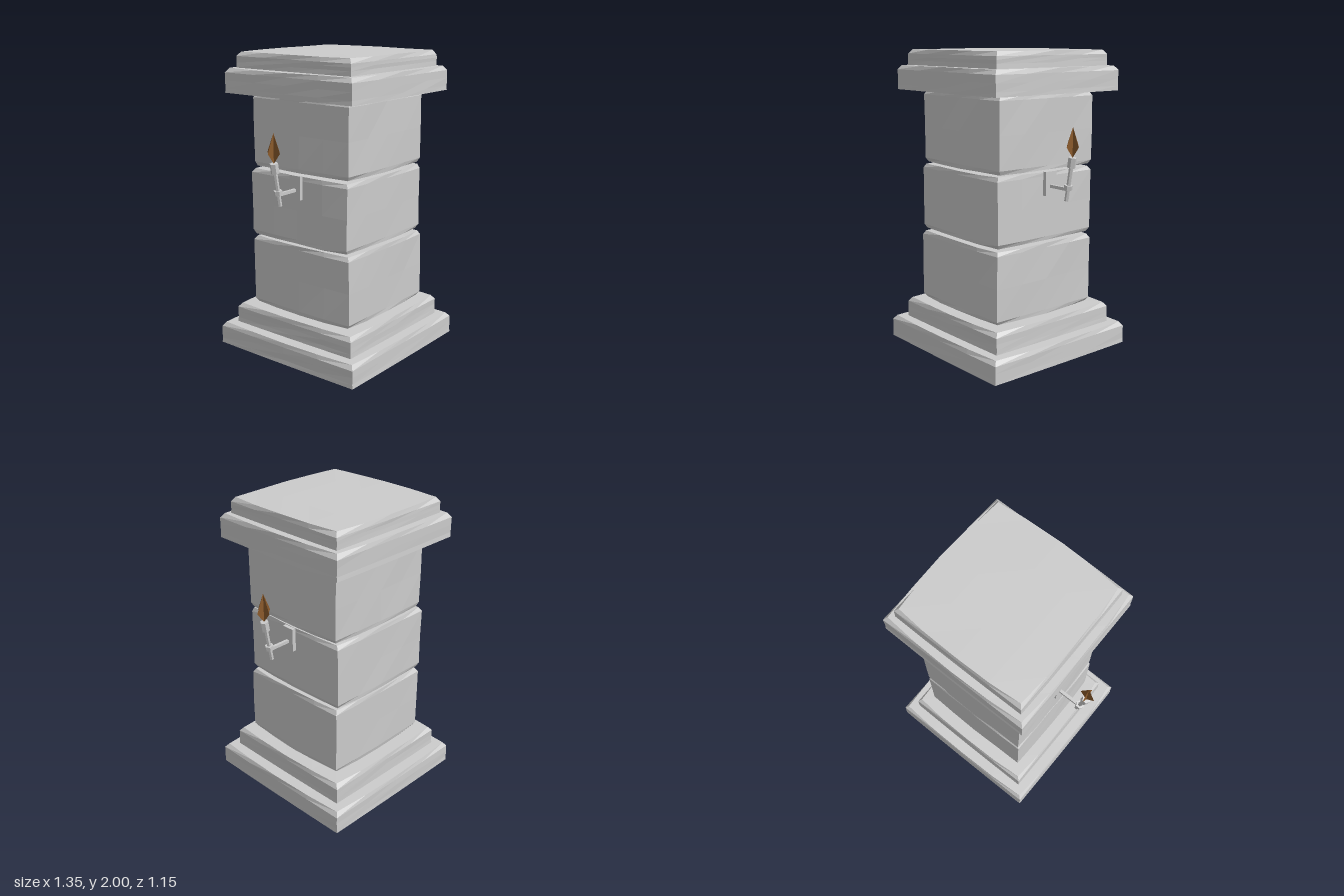
import * as THREE from 'three';

const stone = new THREE.MeshStandardMaterial({ color: 0xcccccc, flatShading: true });
const flameMat = new THREE.MeshStandardMaterial({ color: 0x8a5a2b, flatShading: true, side: THREE.DoubleSide });

// repeatable wobble in -1..1 for a grid point
function wobble(a, b, c, seed) {
  const s = Math.sin(a * 12.9 + b * 78.2 + c * 37.7 + seed * 19.1) * 43758.5;
  return (s - Math.floor(s)) * 2 - 1;
}

// hand-cut stone: the rims are worn back towards the corners
function stoneBlock(name, [x0, x1], [y0, y1], [z0, z1], { bevel, wear, wearBottom, bow, rough, seed }) {
  const geo = new THREE.BoxGeometry(2, 2, 2, 4, 4, 4);
  const p = geo.attributes.position;
  const hx = (x1 - x0) / 2, hy = (y1 - y0) / 2, hz = (z1 - z0) / 2;
  for (let i = 0; i < p.count; i++) {
    const u = p.getX(i), v = p.getY(i), w = p.getZ(i);
    const rim = v === 1 || (v === -1 && wearBottom);
    // pull a side face in: slightly at its corners, more along the rims
    const pull = (side, along) => Math.abs(side) === 1
      ? -Math.sign(side) * (bow * along * along + (rim ? wear * (0.15 + 0.85 * along * along) : 0))
      : 0;
    const row = Math.abs(v) === 0.5 ? Math.sign(v) * (1 - bevel / hy) : v;
    const flatBottom = v === -1 && !wearBottom;
    const r = flatBottom ? 0 : rough;
    const sx = Math.abs(u) === 1 ? 1 : 0, sz = Math.abs(w) === 1 ? 1 : 0;
    const dip = rim ? -Math.sign(v) * rough * (0.5 + 0.5 * wobble(w, u, v, seed)) : 0;
    p.setXYZ(i,
      (x0 + x1) / 2 + u * hx + pull(u, w) - sx * u * r * (0.5 + 0.5 * wobble(u, v, w, seed)),
      (y0 + y1) / 2 + row * hy + (sx || sz ? dip : 0),
      (z0 + z1) / 2 + w * hz + pull(w, u) - sz * w * r * (0.5 + 0.5 * wobble(v, w, u, seed)));
  }
  geo.computeVertexNormals();
  const mesh = new THREE.Mesh(geo, stone);
  mesh.name = name;
  return mesh;
}

function part(name, geo, x, y, parent, mat = stone) {
  const mesh = new THREE.Mesh(geo, mat);
  mesh.name = name;
  mesh.position.set(x, y, 0);
  parent.add(mesh);
  return mesh;
}

const hexRod = (r, h) => new THREE.CylinderGeometry(r, r, h, 6).rotateY(Math.PI / 6);

// wall torch on the +x side
function wallTorch(name) {
  const torch = new THREE.Group();
  torch.name = name;
  part('wallPlate', new THREE.BoxGeometry(0.026, 0.155, 0.09), 0.423, 1.165, torch);
  part('bracketArm', new THREE.BoxGeometry(0.165, 0.02, 0.02), 0.515, 1.148, torch);

  // leaning handle with its ring and head
  const handle = new THREE.Group();
  handle.name = 'handle';
  handle.position.set(0.6, 1.21, 0);
  handle.rotation.z = -0.177;
  part('shaft', hexRod(0.014, 0.27), 0, -0.005, handle);
  part('ring', hexRod(0.028, 0.03), 0, -0.05, handle);
  part('head', hexRod(0.027, 0.065), 0, 0.112, handle);
  torch.add(handle);

  // flame of two crossed diamond sheets
  const diamond = new THREE.Shape([[0, 0], [0.052, 0.068], [0, 0.19], [-0.052, 0.068]]
    .map(([x, y]) => new THREE.Vector2(x, y)));
  const flame = new THREE.Group();
  flame.name = 'flame';
  flame.position.set(0.625, 1.35, 0);
  for (const turn of [0, Math.PI / 2]) {
    part('flameSheet', new THREE.ShapeGeometry(diamond), 0, 0, flame, flameMat).rotation.y = turn;
  }
  torch.add(flame);
  return torch;
}

export function createModel() {
  const model = new THREE.Group();
  model.name = 'stonePillar';

  const slab = { bevel: 0.03, wear: 0.022, wearBottom: false, bow: 0.003, rough: 0.003 };
  const shaft = { bevel: 0.03, wear: 0.015, wearBottom: true, bow: 0.006, rough: 0.006 };
  const blocks = [
    ['baseLower', [-0.576, 0.573], [0, 0.15], [-0.573, 0.576], slab],
    ['baseUpper', [-0.495, 0.492], [0.15, 0.287], [-0.492, 0.498], slab],
    ['shaftLower', [-0.418, 0.408], [0.29, 0.772], [-0.404, 0.424], shaft],
    ['shaftMiddle', [-0.418, 0.4], [0.782, 1.238], [-0.408, 0.41], shaft],
    ['shaftUpper', [-0.398, 0.41], [1.247, 1.733], [-0.402, 0.404], shaft],
    ['capLower', [-0.522, 0.519], [1.735, 1.896], [-0.52, 0.522], slab],
    ['capUpper', [-0.468, 0.466], [1.896, 2], [-0.465, 0.471], slab],
  ];
  blocks.forEach(([name, x, y, z, style], i) =>
    model.add(stoneBlock(name, x, y, z, { ...style, seed: i + 1 })));

  // one torch on each side
  const left = wallTorch('leftTorch');
  const right = wallTorch('rightTorch');
  right.rotation.y = Math.PI;
  model.add(left, right);
  return model;
}
